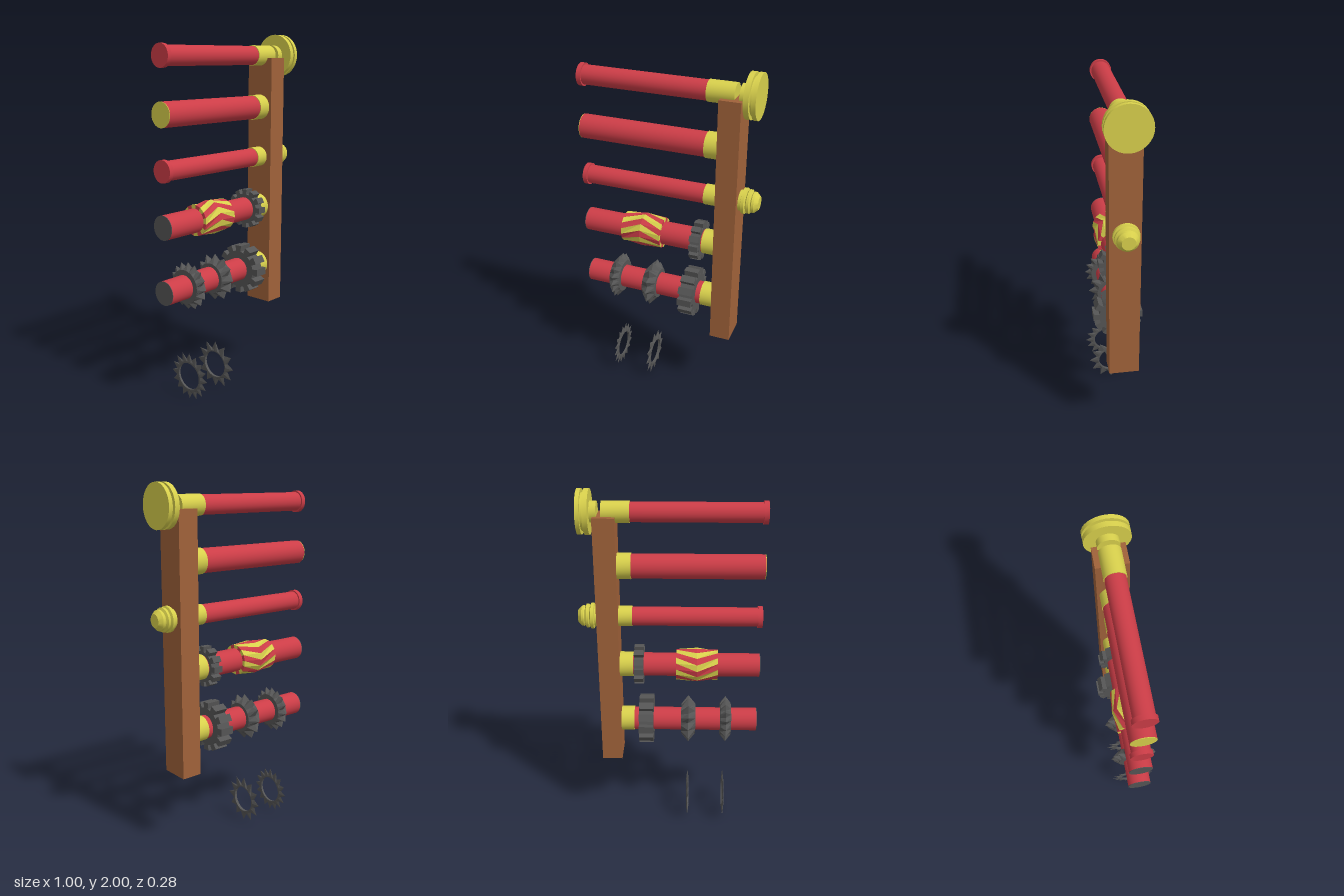
import * as THREE from 'three';
import { toCreasedNormals } from 'three/addons/utils/BufferGeometryUtils.js';

const mat = (color) => new THREE.MeshStandardMaterial({ color });

export function createModel() {
  const model = new THREE.Group();
  const red = mat(0xcc3d47), yellow = mat(0xd8d04c), brown = mat(0xa0623a), dark = mat(0x555555);

  const add = (name, geometry, material, x, y, parent = model) => {
    const mesh = new THREE.Mesh(geometry, material);
    mesh.name = name;
    mesh.position.set(x, y, 0);
    parent.add(mesh);
    return mesh;
  };

  // Solid turned around the x axis from [x, radius] pairs, closed at both ends
  const turned = (profile) => {
    const first = profile[0], last = profile[profile.length - 1];
    const pts = [[first[0], 0], ...profile, [last[0], 0]].map(([x, r]) => new THREE.Vector2(r, x));
    return toCreasedNormals(new THREE.LatheGeometry(pts, 32).rotateZ(-Math.PI / 2), 0.5);
  };
  const rod = (x0, x1, r) => turned([[x0, r], [x1, r]]);

  // Faceted surface over a grid; at(i, j) gives [x, radius, angle]
  const facetGrid = (rows, cols, at) => {
    const pos = [];
    const put = (i, j) => {
      const [x, r, a] = at(i, j);
      pos.push(x, r * Math.cos(a), r * Math.sin(a));
    };
    for (let i = 0; i < rows; i++) for (let j = 0; j < cols; j++) {
      put(i, j); put(i + 1, j); put(i + 1, j + 1);
      put(i, j); put(i + 1, j + 1); put(i, j + 1);
    }
    const g = new THREE.BufferGeometry();
    g.setAttribute('position', new THREE.Float32BufferAttribute(pos, 3));
    g.computeVertexNormals();
    return g;
  };

  // Wheel whose sides taper out to sharp points
  const spikedWheel = (teeth, rInner, rHub, rValley, rTip, half) => {
    const xs = [half, half, 0, -half, -half, half];
    const rs = [rInner, rHub, 0, rHub, rInner, rInner];
    return facetGrid(5, teeth * 2, (i, j) => [
      xs[i], i === 2 ? (j % 2 ? rValley : rTip) : rs[i], (j * Math.PI) / teeth,
    ]);
  };

  // Square-toothed gear, starting at x = 0
  const gear = (teeth, rRoot, rTip, width) => {
    const shape = new THREE.Shape();
    for (let t = 0; t < teeth; t++) {
      [[-0.3, rRoot], [-0.28, rTip], [0.28, rTip], [0.3, rRoot]].forEach(([f, r], k) => {
        const a = ((t + f) / teeth) * Math.PI * 2;
        shape[t + k === 0 ? 'moveTo' : 'lineTo'](r * Math.cos(a), r * Math.sin(a));
      });
    }
    shape.closePath();
    return new THREE.ExtrudeGeometry(shape, { depth: width, bevelEnabled: false }).rotateY(Math.PI / 2);
  };

  // Post
  add('post', new THREE.BoxGeometry(0.115, 1.435, 0.166), brown, 0.338, 1.153);

  // Two slim handles with a rimmed end
  for (const [name, y, collarEnd] of [['topHandle', 1.885, 0.352], ['middleHandle', 1.312, 0.3]]) {
    add(name, turned([[-0.5, 0.06], [-0.475, 0.06], [-0.475, 0.052], [0.206, 0.052]]), red, 0, y);
    add(name + 'Collar', rod(0.206, collarEnd, 0.056), yellow, 0, y);
  }

  // Three thick handles with a coloured end face
  for (const [name, y, endMaterial] of [
    ['plainHandle', 1.597, yellow], ['chevronHandle', 1.02, dark], ['spikedHandle', 0.667, dark],
  ]) {
    add(name, rod(-0.498, 0.206, 0.066), red, 0, y);
    add(name + 'Collar', rod(0.206, 0.3, 0.07), yellow, 0, y);
    add(name + 'End', rod(-0.501, -0.498, 0.066), endMaterial, 0, y);
  }

  // Grooved disc knob beside the top handle
  add('discKnob', turned([
    [0.376, 0.056], [0.411, 0.056], [0.411, 0.117], [0.438, 0.117], [0.438, 0.097],
    [0.452, 0.097], [0.452, 0.117], [0.474, 0.117],
  ]), yellow, 0, 1.885);

  // Ridged knob on the outside of the post
  add('ridgedKnob', turned([
    [0.38, 0.056], [0.41, 0.056], [0.414, 0.07], [0.43, 0.07], [0.436, 0.056], [0.442, 0.065],
    [0.455, 0.065], [0.462, 0.052], [0.468, 0.057], [0.48, 0.055], [0.5, 0.036],
  ]), yellow, 0, 1.312);

  // Drum wrapped in alternating chevron strips
  const drum = new THREE.Group();
  drum.name = 'chevronDrum';
  drum.position.set(-0.15, 1.02, 0);
  model.add(drum);
  const strips = 16, step = (Math.PI * 2) / strips;
  const drumX = [0.116, 0.116, 0, -0.116, -0.116], drumR = [0.06, 0.086, 0.095, 0.086, 0.06];
  for (let s = 0; s < strips; s++) {
    const strip = facetGrid(4, 1, (i, j) => [drumX[i], drumR[i], (s + j) * step + (i === 2 ? 0 : 0.5)]);
    add('chevronStrip', strip, s % 2 ? red : yellow, 0, 0, drum);
  }

  // Gears
  add('smallGear', gear(12, 0.086, 0.113, 0.053), dark, 0.147, 1.02);
  add('largeGear', gear(12, 0.108, 0.142, 0.082), dark, 0.095, 0.667);

  // Spiked wheels on the lowest handle, with matching loose rings below
  add('fineSpikedWheel', spikedWheel(16, 0.06, 0.094, 0.104, 0.133, 0.031), dark, -0.32, 0.667);
  add('coarseSpikedWheel', spikedWheel(12, 0.06, 0.086, 0.1, 0.135, 0.041), dark, -0.105, 0.667);
  add('fineRing', spikedWheel(16, 0.077, 0.087, 0.1, 0.135, 0.006), dark, -0.32, 0.138);
  add('coarseRing', spikedWheel(12, 0.077, 0.084, 0.096, 0.138, 0.008), dark, -0.105, 0.138);

  return model;
}
